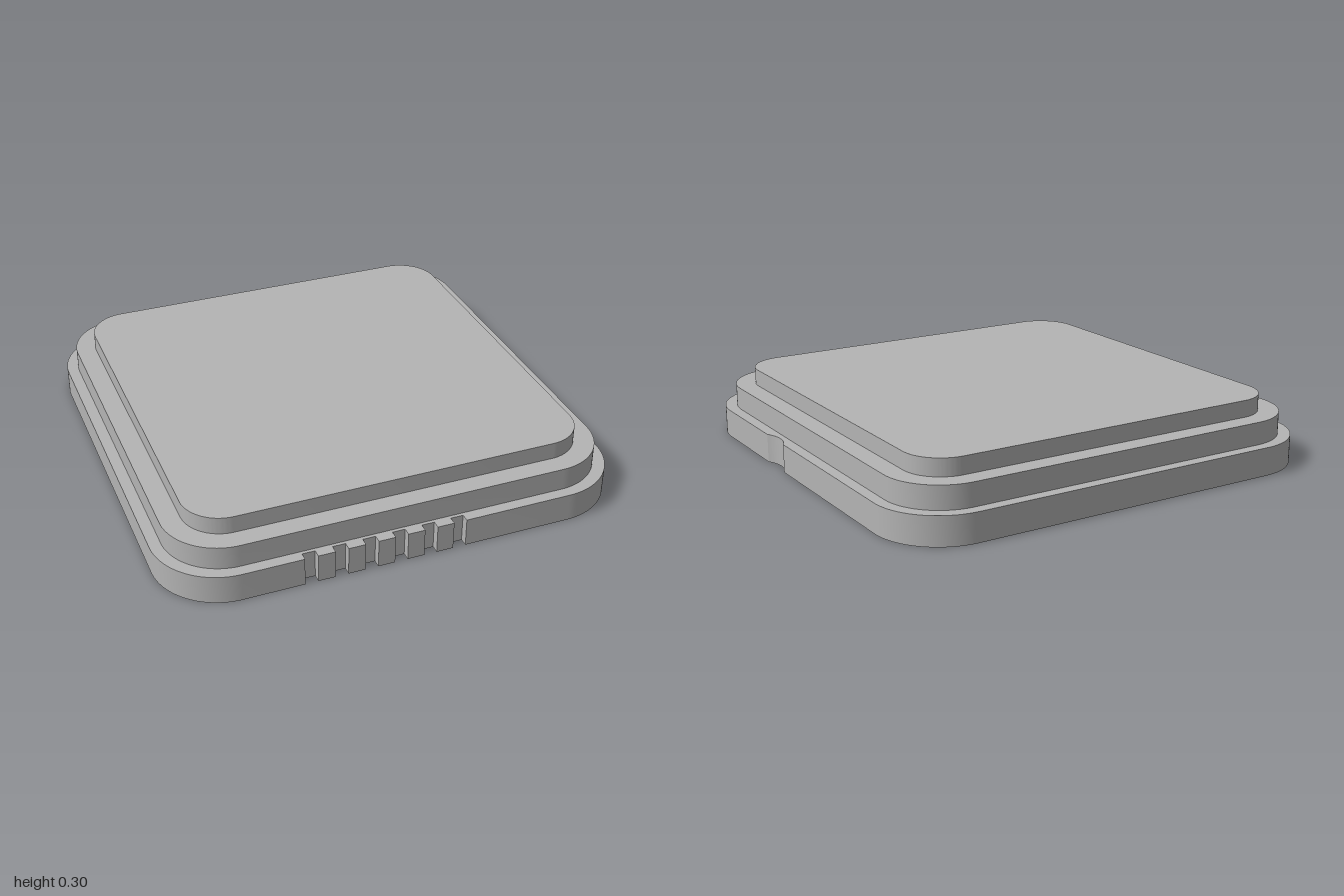
import * as THREE from 'three';
import { toCreasedNormals } from 'three/addons/utils/BufferGeometryUtils.js';

const casing = new THREE.MeshStandardMaterial({ color: 0xb4b4b4 });
casing.name = 'casing grey';

// Rounded square outline; the optional callbacks cut details into the front and left sides
function outline(path, half, r, cutFront, cutLeft) {
  const c = half - r;
  path.moveTo(-c, -half);
  if (cutFront) cutFront(path);
  path.lineTo(c, -half);
  path.absarc(c, -c, r, -Math.PI / 2, 0, false);
  if (cutLeft) cutLeft(path);
  path.lineTo(half, c);
  path.absarc(c, c, r, 0, Math.PI / 2, false);
  path.lineTo(-c, half);
  path.absarc(-c, c, r, Math.PI / 2, Math.PI, false);
  path.lineTo(-half, -c);
  path.absarc(-c, -c, r, Math.PI, Math.PI * 1.5, false);
  return path;
}

// Upright extrusion between two heights
function tier(name, shape, y0, y1) {
  const geo = new THREE.ExtrudeGeometry(shape, { depth: y1 - y0, bevelEnabled: false, curveSegments: 20 });
  geo.rotateX(-Math.PI / 2);
  geo.translate(0, y0, 0);
  const mesh = new THREE.Mesh(toCreasedNormals(geo, 0.4), casing);
  mesh.name = name;
  return mesh;
}

// Six square grip slots along the front edge
function gripSlots(path) {
  for (let i = 0; i < 6; i++) {
    const x = -0.455 + i * 0.128;
    path.lineTo(x, -1);
    path.lineTo(x, -0.965);
    path.lineTo(x + 0.055, -0.965);
    path.lineTo(x + 0.055, -1);
  }
}

// Shallow thumb scallop on the left edge
function thumbScallop(path) {
  const w = 0.083, d = 0.024;
  const R = (w * w + d * d) / (2 * d);
  const a = Math.asin(w / R);
  path.absarc(1 - d + R, -0.205, R, Math.PI + a, Math.PI - a, true);
}

export function createModel() {
  const group = new THREE.Group();
  group.name = 'steppedCase';

  // Bottom rim, separated from the core by an open groove underneath
  const rim = outline(new THREE.Shape(), 1, 0.29, gripSlots, thumbScallop);
  rim.holes.push(outline(new THREE.Path(), 0.93, 0.22));
  group.add(tier('bottomRim', rim, 0, 0.125));

  // Middle step, fitted around the core
  const step = outline(new THREE.Shape(), 0.95, 0.25);
  step.holes.push(outline(new THREE.Path(), 0.863, 0.17));
  group.add(tier('middleStep', step, 0.125, 0.225));

  // Core slab from the underside up to the top face
  group.add(tier('coreSlab', outline(new THREE.Shape(), 0.863, 0.17), 0, 0.3));

  return group;
}
